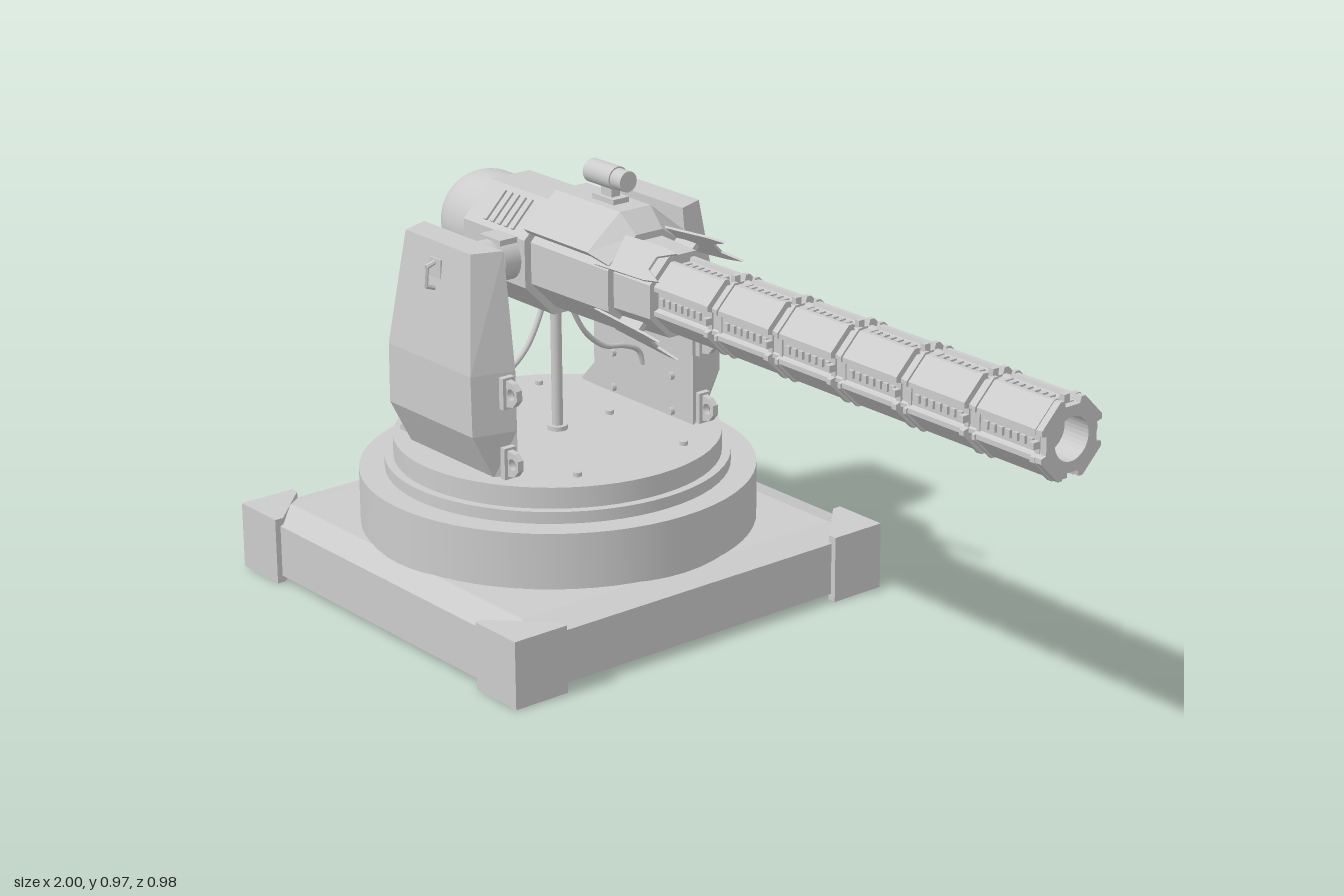
import * as THREE from 'three';

const smooth = new THREE.MeshStandardMaterial({ color: 0xcccccc });
const flat = new THREE.MeshStandardMaterial({ color: 0xcccccc, flatShading: true, side: THREE.DoubleSide });
const CX = -0.51;   // turntable axis
const GY = 0.748;   // gun axis height
const COS8 = Math.cos(Math.PI / 8);

function add(parent, name, geo, x = 0, y = 0, z = 0, mat = flat) {
  const m = new THREE.Mesh(geo, mat);
  m.name = name;
  m.position.set(x, y, z);
  parent.add(m);
  return m;
}
const box = (w, h, d) => new THREE.BoxGeometry(w, h, d);
const shapeOf = pts => new THREE.Shape(pts.map(p => new THREE.Vector2(p[0], p[1])));
const extrude = (shape, depth) => new THREE.ExtrudeGeometry(shape, { depth, bevelEnabled: false, curveSegments: 16 });
// octagonal prism along x, with flats facing up and sideways
const octPrism = (a0, a1, len) =>
  new THREE.CylinderGeometry(a1 / COS8, a0 / COS8, len, 8, 1, false, Math.PI / 8).rotateZ(-Math.PI / 2);

function addBase(g) {
  const base = new THREE.Group();
  base.name = 'base';
  base.position.x = CX;
  g.add(base);
  add(base, 'plinth', box(0.955, 0.115, 0.955), 0, 0.0725, 0);
  const slope = new THREE.CylinderGeometry(0.41 * Math.SQRT2, 0.4775 * Math.SQRT2, 0.018, 4, 1, false, Math.PI / 4);
  add(base, 'plinthTop', slope, 0, 0.139, 0);
  add(base, 'underPlate', box(0.42, 0.006, 0.42), 0, 0.014, 0);
  const corner = shapeOf([[0.49, 0.49], [0.36, 0.49], [0.36, 0.47], [0.47, 0.36], [0.49, 0.36]]);
  for (let i = 0; i < 4; i++) {
    const c = add(base, 'cornerBlock', extrude(corner, 0.147).rotateX(-Math.PI / 2));
    c.rotation.y = i * Math.PI / 2;
  }
  // stepped turntable
  for (const [r, y0, y1] of [[0.425, 0.14, 0.27], [0.37, 0.27, 0.296], [0.351, 0.296, 0.342]])
    add(base, 'turntableStep', new THREE.CylinderGeometry(r, r, y1 - y0, 64), 0, (y0 + y1) / 2, 0, smooth);
  for (const x of [-0.25, 0, 0.25]) for (const s of [-1, 1])
    add(base, 'turntableBolt', new THREE.CylinderGeometry(0.009, 0.009, 0.01, 10), x, 0.346, s * 0.142, smooth);
}

// tapered side support, wide at the waist, chamfered on its outer side
function supportGeometry(s) {
  const rows = [[0.34, 0.17, 0.278], [0.44, 0.17, 0.33], [0.57, 0.168, 0.33], [0.818, 0.137, 0.3]];
  const geo = new THREE.BoxGeometry(1, 3, 1, 1, 3, 1);
  const p = geo.attributes.position;
  for (let i = 0; i < p.count; i++) {
    const [y, hw, zo] = rows[Math.round(p.getY(i) + 1.5)];
    const outer = p.getZ(i) * s > 0;
    p.setXYZ(i, Math.sign(p.getX(i)) * (outer ? hw - 0.025 : hw), y, s * (outer ? zo : 0.235));
  }
  return geo;
}

function addSupport(g, s) {
  const sup = new THREE.Group();
  sup.name = s > 0 ? 'frontSupport' : 'backSupport';
  sup.position.x = CX;
  g.add(sup);
  add(sup, 'supportPlate', supportGeometry(s));
  const gusset = shapeOf([[-0.16, 0.34], [-0.16, 0.4], [-0.175, 0.39], [-0.215, 0.348], [-0.215, 0.34]]);
  add(sup, 'rearGusset', extrude(gusset, 0.022), 0, 0, s * 0.248 - 0.011);
  // eye lugs on the muzzle side
  for (const y of [0.378, 0.53]) {
    add(sup, 'lugPlate', box(0.014, 0.068, 0.03), 0.172, y, s * 0.26);
    const lug = shapeOf([[0.17, -0.03], [0.2, -0.024], [0.214, -0.008], [0.214, 0.014], [0.2, 0.026], [0.17, 0.03]]);
    lug.holes.push(new THREE.Path().absarc(0.194, 0.002, 0.012, 0, Math.PI * 2, true));
    add(sup, 'eyeLug', extrude(lug, 0.014), 0, y, s * 0.26 - 0.007);
  }
  // staple handle on the outer face
  const handle = [[0.72, 0.305], [0.73, 0.333], [0.77, 0.329], [0.78, 0.3]];
  for (let i = 0; i < 3; i++) {
    const a = new THREE.Vector3(0, handle[i][0], s * handle[i][1]);
    const b = new THREE.Vector3(0, handle[i + 1][0], s * handle[i + 1][1]);
    add(sup, 'handleBar', new THREE.TubeGeometry(new THREE.LineCurve3(a, b), 1, 0.005, 6));
  }
  add(sup, 'handlePlate', box(0.04, 0.07, 0.012), 0, 0.75, s * 0.303);
  // inner bolts
  for (const y of [0.355, 0.435]) for (const x of [-0.1, 0.1])
    add(sup, 'supportBolt', new THREE.CylinderGeometry(0.009, 0.009, 0.012, 8).rotateX(Math.PI / 2), x, y, s * 0.231, smooth);
  // trunnion with collars
  for (const [r, z0, z1] of [[0.041, 0.1, 0.24], [0.048, 0.115, 0.165], [0.045, 0.17, 0.2], [0.046, 0.21, 0.24]])
    add(sup, 'trunnion', new THREE.CylinderGeometry(r, r, z1 - z0, 32).rotateX(Math.PI / 2), 0, 0.752, s * (z0 + z1) / 2, smooth);
  add(sup, 'trunnionPad', box(0.07, 0.012, 0.045), 0, 0.796, s * 0.146);
  // feed hose sagging to the support
  const path = [[0.64, 0.03], [0.6, 0.045], [0.54, 0.08], [0.5, 0.13], [0.488, 0.185], [0.47, 0.222], [0.435, 0.237]];
  const hose = new THREE.CatmullRomCurve3(path.map(([y, z]) => new THREE.Vector3(0, y, s * z)));
  add(sup, 'hose', new THREE.TubeGeometry(hose, 40, 0.006, 8), 0, 0, 0, smooth);
}

function addReceiver(gun) {
  add(gun, 'receiver', octPrism(0.124, 0.124, 0.21), -0.555, 0, 0);
  add(gun, 'frontHousing', octPrism(0.108, 0.104, 0.25), -0.325, 0, 0);
  add(gun, 'barrelCollar', octPrism(0.09, 0.085, 0.12), -0.15, 0, 0);
  // domed rear cap
  const prof = [new THREE.Vector2(0.107, 0)];
  for (let i = 0; i <= 12; i++) {
    const t = i / 12 * Math.PI / 2;
    prof.push(new THREE.Vector2(0.107 * Math.cos(t) ** 0.8, 0.075 + 0.093 * Math.sin(t)));
  }
  prof[prof.length - 1].x = 0;
  add(gun, 'rearCap', new THREE.LatheGeometry(prof, 48).rotateZ(Math.PI / 2), -0.66, 0.01, 0, smooth);
  // cooling louvres on the upper slanted faces
  for (const s of [-1, 1]) {
    const bank = new THREE.Group();
    bank.name = 'louvres';
    bank.rotation.x = s * Math.PI / 4;
    gun.add(bank);
    for (let i = 0; i < 5; i++) add(bank, 'louvre', box(0.01, 0.008, 0.075), -0.595 + i * 0.023, 0.125, 0);
  }
  // bent roof armour with a sloping nose
  const roof = shapeOf([[-0.125, 0.077], [-0.04, 0.145], [0.04, 0.145], [0.125, 0.077], [0.116, 0.067], [0.036, 0.13], [-0.036, 0.13], [-0.116, 0.067]]);
  add(gun, 'roofArmour', extrude(roof, 0.21).rotateY(Math.PI / 2), -0.45, 0, 0);
  const nose = extrude(roof, 0.045).rotateY(Math.PI / 2);
  const p = nose.attributes.position;
  for (let i = 0; i < p.count; i++) if (p.getX(i) > 0.02) p.setXYZ(i, p.getX(i), p.getY(i) * 0.73, p.getZ(i) * 0.85);
  add(gun, 'roofNose', nose, -0.24, 0, 0);
  add(gun, 'roofCore', box(0.21, 0.035, 0.07), -0.345, 0.116, 0);
  // four flared, forked plates around the barrel root
  const fork = shapeOf([[0, -0.04], [0.17, -0.04], [0.215, -0.034], [0.165, -0.015], [0.165, 0.015], [0.215, 0.034], [0.17, 0.04], [0, 0.04]]);
  for (let i = 0; i < 4; i++) {
    const arm = new THREE.Group();
    arm.name = 'forkPlateArm';
    arm.rotation.x = Math.PI / 4 + i * Math.PI / 2;
    gun.add(arm);
    const plate = add(arm, 'forkPlate', extrude(fork, 0.005).rotateX(-Math.PI / 2), -0.245, 0.103, 0);
    plate.rotation.z = 0.075;
    add(arm, 'forkStrut', box(0.07, 0.026, 0.012), -0.17, 0.096, 0);
  }
}

function addSight(gun) {
  add(gun, 'sightFoot', box(0.07, 0.012, 0.04), -0.32, 0.15, 0);
  add(gun, 'sightPost', box(0.035, 0.03, 0.022), -0.32, 0.168, 0);
  const tube = (r, l, x) => add(gun, 'sightTube', new THREE.CylinderGeometry(r, r, l, 24).rotateZ(Math.PI / 2), x, 0.196, 0, smooth);
  tube(0.025, 0.085, -0.337);
  tube(0.022, 0.035, -0.279);
}

function addBarrel(gun) {
  // octagonal ring with a groove along each upright or level face
  const section = (a, depth) => {
    const pts = [], h = a * Math.tan(Math.PI / 8), n = h * 0.68;
    for (let i = 0; i < 4; i++) {
      const c = Math.round(Math.cos(i * Math.PI / 2)), s = Math.round(Math.sin(i * Math.PI / 2));
      for (const [u, v] of [[a, -h], [a, -n], [a - depth, -n * 0.85], [a - depth, n * 0.85], [a, n], [a, h]])
        pts.push([u * c - v * s, u * s + v * c]);
    }
    const sh = shapeOf(pts);
    sh.holes.push(new THREE.Path().absarc(0, 0, 0.043, 0, Math.PI * 2, true));
    return sh;
  };
  const ring = (name, a, depth, x0, x1) => add(gun, name, extrude(section(a, depth), x1 - x0).rotateY(Math.PI / 2), x0, 0, 0);
  ring('barrelCore', 0.066, 0.004, -0.2, 0.99);
  add(gun, 'boreFloor', new THREE.CylinderGeometry(0.044, 0.044, 0.02, 32).rotateZ(Math.PI / 2), 0.93, 0, 0, smooth);
  const step = 0.181;
  for (let i = 0; i < 6; i++) {
    const x1 = 0.08 + i * step, x0 = i ? x1 - step + 0.02 : -0.1;
    ring('barrelSleeve', 0.074, 0.011, x0, x1);
    ring('barrelBand', 0.078, 0.012, x1 - 0.012, x1);
    if (i) ring('barrelBand', 0.078, 0.012, x0, x0 + 0.008);
    // small vent blocks in the grooves and a clamp nub on every side
    for (let k = 0; k < 4; k++) {
      const side = new THREE.Group();
      side.name = 'barrelSide';
      side.rotation.x = k * Math.PI / 2;
      gun.add(side);
      for (let j = 0; j < 7; j++) add(side, 'ventBlock', box(0.012, 0.006, 0.016), x0 + 0.025 + j * 0.019, 0.066, 0);
      add(side, 'clampNub', box(0.012, 0.02, 0.014), x1 - 0.006, 0.071, 0);
    }
  }
  ring('muzzle', 0.076, 0.012, 0.982, 1.0);
}

export function createModel() {
  const g = new THREE.Group();
  g.name = 'turret';
  addBase(g);
  for (const s of [-1, 1]) addSupport(g, s);
  add(g, 'centreHose', new THREE.CylinderGeometry(0.012, 0.012, 0.3, 16), CX, 0.49, 0, smooth);
  add(g, 'centreHoseCollar', new THREE.CylinderGeometry(0.022, 0.022, 0.012, 16), CX, 0.346, 0, smooth);
  const gun = new THREE.Group();
  gun.name = 'gun';
  gun.position.y = GY;
  g.add(gun);
  addReceiver(gun);
  addSight(gun);
  addBarrel(gun);
  return g;
}
